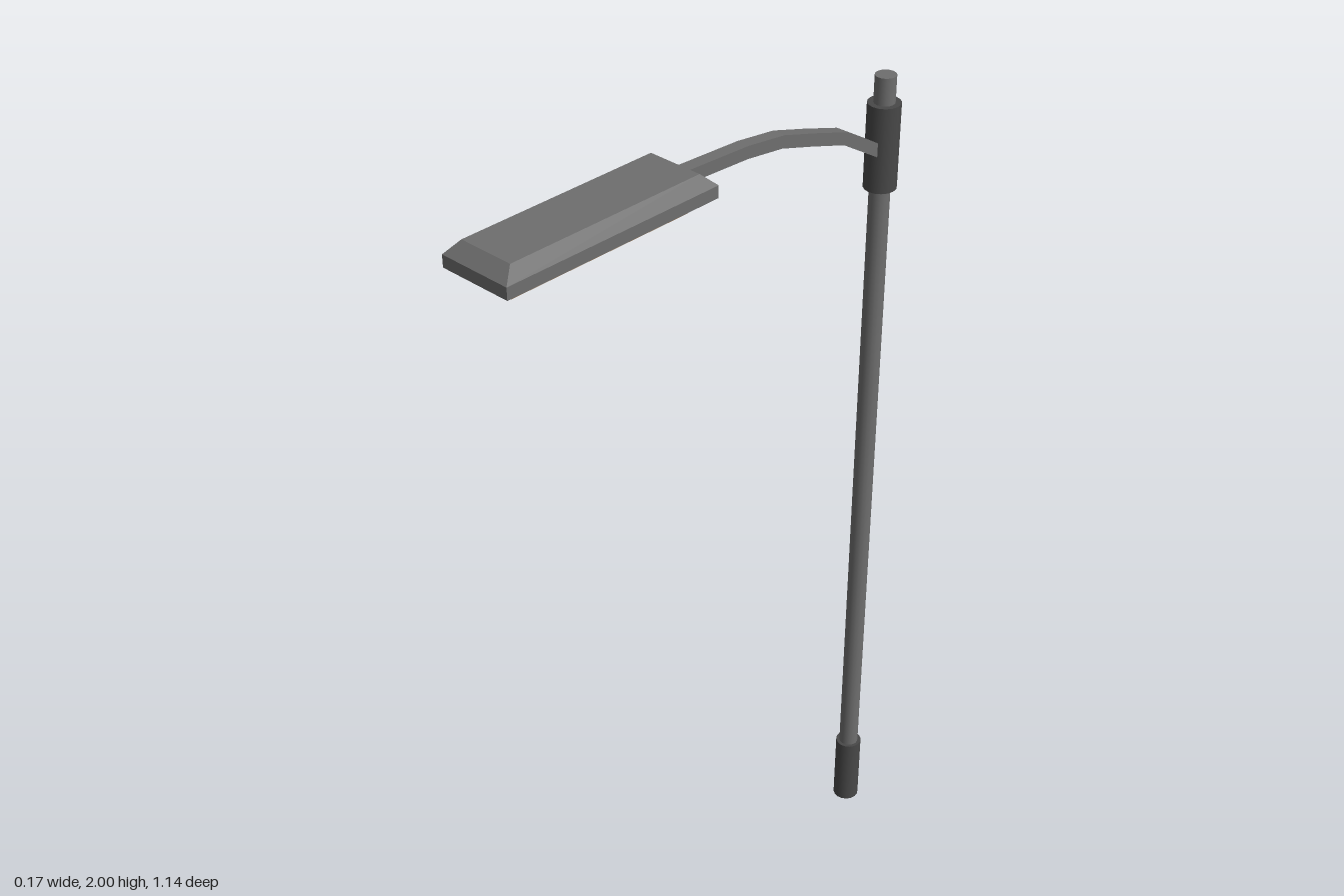
import * as THREE from 'three';

const POLE_Z = -0.535;

const material = (name, color) => {
  const m = new THREE.MeshStandardMaterial({ color });
  m.name = name;
  return m;
};

// Box whose top and bottom rectangles differ; sizes are [width, depth]
function taperedBox(bottom, top, y0, y1, z) {
  const geo = new THREE.BoxGeometry(1, 1, 1);
  const p = geo.attributes.position;
  for (let i = 0; i < p.count; i++) {
    const upper = p.getY(i) > 0;
    const [w, d] = upper ? top : bottom;
    p.setXYZ(i, p.getX(i) * w, upper ? y1 : y0, p.getZ(i) * d + z);
  }
  geo.computeVertexNormals();
  return geo;
}

// Upright cylinder on the pole axis
function sleeve(radius, y0, y1) {
  return new THREE.CylinderGeometry(radius, radius, y1 - y0, 16)
    .translate(0, (y0 + y1) / 2, POLE_Z);
}

// Square bar following a faceted curve in the z-y plane
function armGeometry(points, width, thickness) {
  const upper = [], lower = [];
  points.forEach(([z, y], i) => {
    const a = points[Math.max(i - 1, 0)];
    const b = points[Math.min(i + 1, points.length - 1)];
    const n = new THREE.Vector2(a[1] - b[1], b[0] - a[0]).normalize().multiplyScalar(thickness / 2);
    upper.push(new THREE.Vector2(z + n.x, y + n.y));
    lower.unshift(new THREE.Vector2(z - n.x, y - n.y));
  });
  return new THREE.ExtrudeGeometry(new THREE.Shape([...upper, ...lower]), { depth: width, bevelEnabled: false })
    .translate(0, 0, -width / 2)
    .rotateY(-Math.PI / 2);
}

export function createModel() {
  const group = new THREE.Group();
  group.name = 'streetLamp';
  const grey = material('grey metal', 0x6e6e6e);
  const dark = material('dark metal', 0x484848);
  const glow = material('warm lens', 0xdcb48c);

  const add = (name, geo, mat) => {
    const mesh = new THREE.Mesh(geo, mat);
    mesh.name = name;
    group.add(mesh);
  };

  // Pole with base sleeve and arm collar
  add('pole', sleeve(0.023, 0.01, 1.98), grey);
  add('baseSleeve', sleeve(0.031, 0, 0.18), dark);
  add('armCollar', sleeve(0.036, 1.73, 1.92), dark);

  // Curved arm from the collar to the head
  add('arm', armGeometry([
    [-0.53, 1.812], [-0.4, 1.89], [-0.3, 1.922], [-0.21, 1.949],
    [-0.11, 1.962], [0.06, 1.97],
  ], 0.03, 0.027), grey);

  // Lamp head: straight rim, bevelled lid, lens below
  const z = 0.307;
  add('headRim', taperedBox([0.168, 0.524], [0.168, 0.524], 1.948, 1.974, z), grey);
  add('headLid', taperedBox([0.168, 0.524], [0.126, 0.466], 1.974, 2, z), grey);
  add('lens', taperedBox([0.122, 0.438], [0.142, 0.458], 1.93, 1.948, 0.322), glow);

  return group;
}
